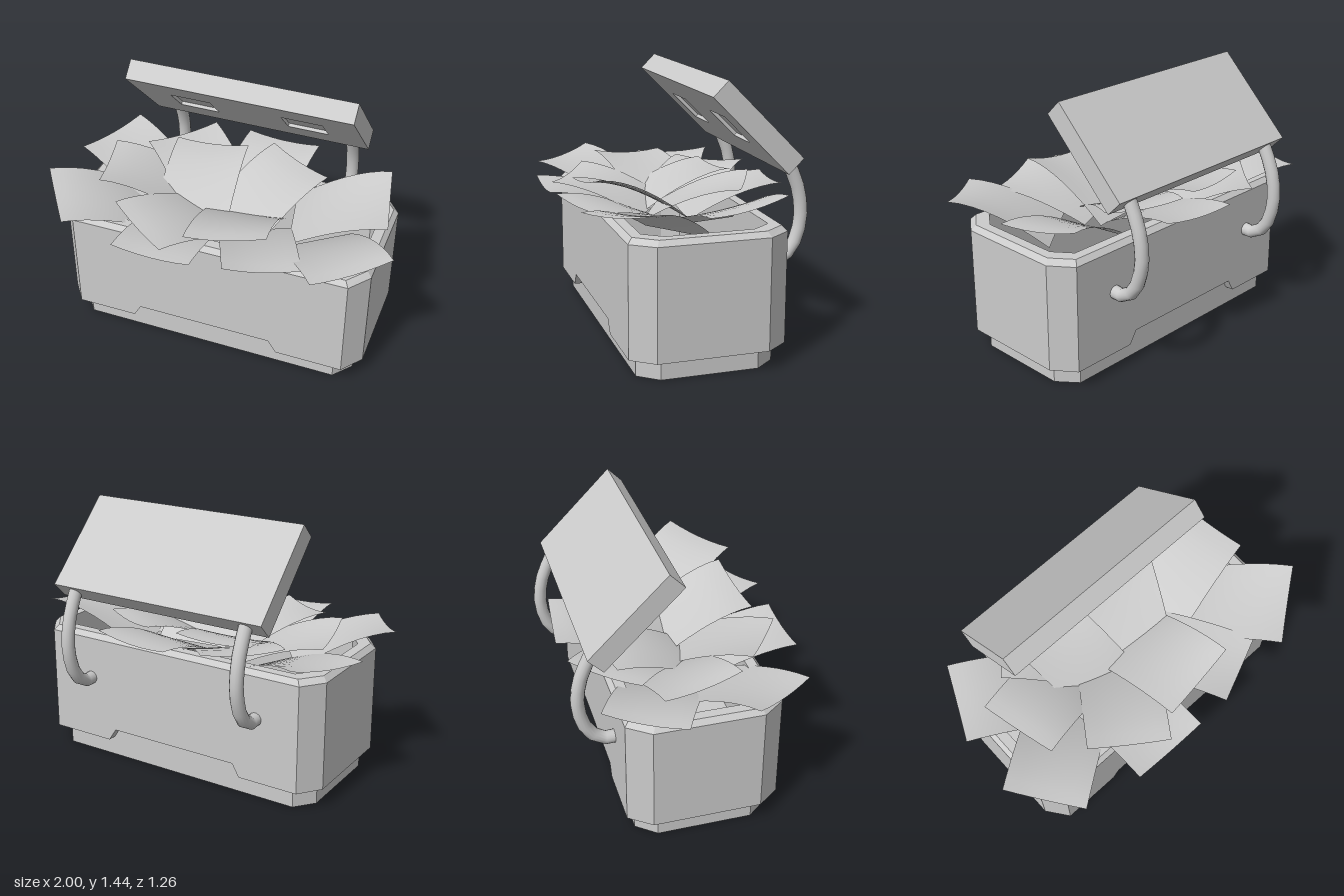
import * as THREE from 'three';

const grey = new THREE.MeshStandardMaterial({ color: 0xcccccc });
const flat = new THREE.MeshStandardMaterial({ color: 0xcccccc, flatShading: true });
const thin = new THREE.MeshStandardMaterial({ color: 0xcccccc, side: THREE.DoubleSide });

function add(parent, name, geometry, material = flat) {
  const mesh = new THREE.Mesh(geometry, material);
  mesh.name = name;
  parent.add(mesh);
  return mesh;
}

// Rectangle with cut corners at height y; c0 and c1 scale the cuts at the x0 and x1 ends
function ring(y, x0, x1, z, cx, cz, c0 = 1, c1 = 1) {
  const a = cx * c0, b = cx * c1, d = cz * c0, e = cz * c1;
  return [[x0 + a, z], [x1 - b, z], [x1, z - e], [x1, -z + e],
    [x1 - b, -z], [x0 + a, -z], [x0, -z + d], [x0, z - d]].map(([x, w]) => [x, y, w]);
}

// Skin a stack of rings and close the first and last with fans
function loft(rings) {
  const n = rings[0].length, index = [];
  rings.slice(1).forEach((_, r) => {
    for (let i = 0; i < n; i++) {
      const a = r * n + i, b = r * n + (i + 1) % n;
      index.push(a, b, b + n, a, b + n, a + n);
    }
  });
  const last = (rings.length - 1) * n;
  for (let i = 1; i < n - 1; i++) index.push(0, i + 1, i, last, last + i, last + i + 1);
  const g = new THREE.BufferGeometry();
  g.setAttribute('position', new THREE.Float32BufferAttribute(rings.flat(2), 3));
  g.setIndex(index);
  const out = g.toNonIndexed();
  out.computeVertexNormals();
  return out;
}

// Sheet hanging between two outer corners [x, y, z], dipping toward the middle of the box
function sheet(a, b, length = 0.52) {
  const A = new THREE.Vector3(...a), B = new THREE.Vector3(...b);
  const inward = new THREE.Vector3(B.z - A.z, 0, A.x - B.x).normalize();
  if (inward.dot(A.clone().add(B)) > 0) inward.negate();
  const g = new THREE.PlaneGeometry(1, 1, 6, 8);
  const p = g.attributes.position;
  for (let i = 0; i < p.count; i++) {
    const u = p.getX(i) + 0.5, t = p.getY(i) + 0.5;
    const v = A.clone().lerp(B, u).addScaledVector(inward, length * (1 - t));
    const rise = 1 - Math.pow(1 - t, 1.7);
    const bow = 0.02 * (4 * u * (1 - u)) * t;
    p.setXYZ(i, v.x, 0.65 + (v.y - 0.65) * rise - bow, v.z);
  }
  g.computeVertexNormals();
  return g;
}

export function createModel() {
  const model = new THREE.Group();
  model.name = 'openBoxOfSheets';

  // Plinth
  add(model, 'base', loft([
    ring(0, -0.8, 0.83, 0.36, 0.085, 0.105),
    ring(0.19, -0.8, 0.83, 0.36, 0.085, 0.105)]));

  // Hollow body with a bevelled rim
  add(model, 'body', loft([
    ring(0.18, -0.85, 0.89, 0.41, 0.09, 0.12),
    ring(0.697, -0.85, 0.89, 0.41, 0.09, 0.12),
    ring(0.725, -0.825, 0.865, 0.385, 0.085, 0.11),
    ring(0.725, -0.77, 0.81, 0.33, 0.075, 0.1),
    ring(0.25, -0.77, 0.81, 0.33, 0.075, 0.1)]));

  // Lower skirts at both ends, leaving a slanted notch between them
  add(model, 'rightSkirt', loft([
    ring(0.11, -0.85, -0.42, 0.41, 0.09, 0.12, 1, 0),
    ring(0.18, -0.85, -0.38, 0.41, 0.09, 0.12, 1, 0)]));
  add(model, 'leftSkirt', loft([
    ring(0.11, 0.43, 0.89, 0.41, 0.09, 0.12, 0, 1),
    ring(0.18, 0.385, 0.89, 0.41, 0.09, 0.12, 0, 1)]));

  // Tilted lid: solid slab plus an inner plate with two shallow recesses
  const lid = new THREE.Group();
  lid.name = 'lid';
  lid.position.set(0.013, 1.19, -0.31);
  lid.rotation.x = Math.PI / 4;
  model.add(lid);
  add(lid, 'lidSlab', new THREE.BoxGeometry(1.275, 0.58, 0.094)).position.z = -0.0095;
  const plate = new THREE.Shape([[-0.6375, -0.29], [0.6375, -0.29], [0.6375, 0.29], [-0.6375, 0.29]]
    .map(q => new THREE.Vector2(...q)));
  for (const x of [-0.318, 0.322]) {
    plate.holes.push(new THREE.Path([[-0.115, -0.1], [-0.115, 0.1], [0.115, 0.1], [0.115, -0.1]]
      .map(([u, v]) => new THREE.Vector2(x + u, v))));
  }
  add(lid, 'lidInnerPlate', new THREE.ExtrudeGeometry(plate, { depth: 0.019, bevelEnabled: false }))
    .position.z = 0.0375;

  // Bent tubes carrying the lid
  const bend = [[0.467, -0.38], [0.467, -0.47], [0.52, -0.54], [0.6, -0.577],
    [0.7, -0.595], [0.83, -0.58], [0.92, -0.548], [1.0, -0.51]];
  for (const [name, x] of [['rightTube', -0.515], ['leftTube', 0.54]]) {
    const path = new THREE.CatmullRomCurve3(bend.map(([y, z]) => new THREE.Vector3(x, y, z)));
    add(model, name, new THREE.TubeGeometry(path, 9, 0.036, 14), grey);
  }

  // Sheets spilling over the rim, given by their two outer corners
  const sheets = new THREE.Group();
  sheets.name = 'sheets';
  model.add(sheets);
  [
    [[-1.0, 0.845, 0.2], [-0.74, 0.8, 0.56]],
    [[-0.78, 0.82, -0.53], [-0.97, 0.785, -0.14]],
    [[-0.78, 0.83, -0.21], [-0.68, 0.86, 0.22]],
    [[-0.53, 0.83, 0.33], [-0.16, 0.8, 0.585]],
    [[-0.42, 0.785, 0.62], [0.02, 0.785, 0.625]],
    [[-0.07, 0.84, 0.49], [0.37, 0.915, 0.44]],
    [[0.2, 0.82, 0.63], [0.57, 0.79, 0.47]],
    [[0.65, 0.83, 0.6], [1.0, 0.88, 0.33]],
    [[0.9, 0.82, 0.03], [0.81, 0.88, -0.41]],
    [[-0.1, 0.81, -0.62], [0.34, 0.83, -0.58]],
    [[-0.31, 0.83, -0.6], [-0.61, 0.82, -0.28]],
    [[-0.46, 0.83, -0.37], [-0.04, 0.84, -0.42]],
    [[0.1, 0.86, -0.47], [0.48, 0.84, -0.28]],
  ].forEach(([a, b], i) => add(sheets, `sheet${i + 1}`, sheet(a, b), thin));

  return model;
}
